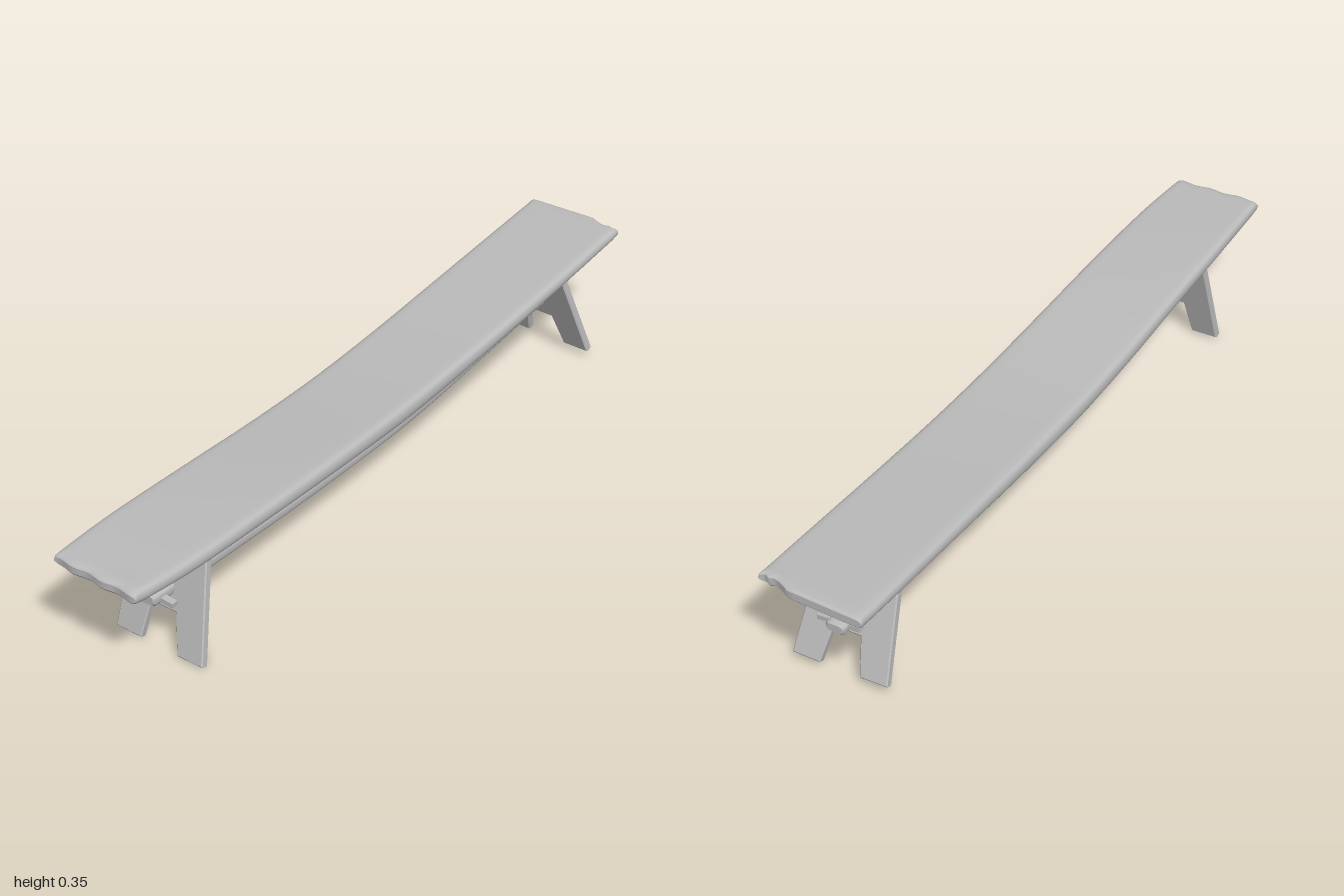
import * as THREE from 'three';

const wood = new THREE.MeshStandardMaterial({ color: 0xbcbcbc });
wood.name = 'greyWood';

// Smooth interpolation through rows of [z, a, b, ...]
function sampler(rows) {
  const curves = rows[0].slice(1).map((_, k) =>
    new THREE.CatmullRomCurve3(rows.map(r => new THREE.Vector3(r[0], r[k + 1], 0))));
  return t => [curves[0].getPoint(t).x, ...curves.map(c => c.getPoint(t).y)];
}

// Skin a list of closed rings (anticlockwise seen from +z, running to -z), with flat fans at the ends
function loft(rings) {
  const n = rings[0].length, pos = [], idx = [];
  rings.forEach(r => r.forEach(p => pos.push(...p)));
  for (let i = 0; i < rings.length - 1; i++) for (let j = 0; j < n; j++) {
    const a = i * n + j, b = i * n + (j + 1) % n;
    idx.push(a, a + n, b, b, a + n, b + n);
  }
  // end caps are strips between the opposite sides of the ring
  [rings[0], rings[rings.length - 1]].forEach((ring, e) => {
    const base = pos.length / 3;
    ring.forEach(p => pos.push(...p));
    for (let j = 0; j < n / 2 - 1; j++) {
      const a = base + j, b = base + j + 1, c = base + n - 2 - j, d = base + n - 1 - j;
      if (e === 0) idx.push(a, b, c, a, c, d);
      else idx.push(a, c, b, a, d, c);
    }
  });
  const g = new THREE.BufferGeometry();
  g.setAttribute('position', new THREE.Float32BufferAttribute(pos, 3));
  g.setIndex(idx);
  g.computeVertexNormals();
  return g;
}

function add(parent, geometry, name) {
  const m = new THREE.Mesh(geometry, wood);
  m.name = name;
  parent.add(m);
  return m;
}

// Seat plank: sagging, slightly twisted, with worn rounded edges and ragged ends
function seatGeometry() {
  // z, centre height, thickness, left edge, right edge, twist
  const at = sampler([
    [0.99, 0.315, 0.036, -0.130, 0.115, -0.003],
    [0.80, 0.308, 0.040, -0.136, 0.132, -0.004],
    [0.50, 0.293, 0.044, -0.138, 0.139, 0.000],
    [0.25, 0.279, 0.047, -0.140, 0.140, 0.004],
    [0.00, 0.272, 0.050, -0.141, 0.140, 0.005],
    [-0.25, 0.279, 0.048, -0.142, 0.139, 0.004],
    [-0.50, 0.294, 0.043, -0.144, 0.140, 0.003],
    [-0.80, 0.315, 0.038, -0.146, 0.140, 0.004],
    [-1.00, 0.330, 0.033, -0.147, 0.139, 0.005]]);
  const across = 24;
  const ring = (t, shrink, inset) => {
    const [z, y, th, x0, x1, twist] = at(t);
    const pts = [];
    const put = (u, v) => {
      const x = (x0 + x1) / 2 + u * (x1 - x0) / 2;
      let dz = 0;
      if (t < 0.02) dz = -0.003 + 0.003 * Math.sin(u * 9);
      if (t > 0.98) dz = u > 0.5 ? 0.016 + 0.003 * Math.sin(u * 30) : u > 0.42 ? 0.008 : 0;
      pts.push([x, y + twist * u + v * shrink * th / 2, z + dz + (t < 0.5 ? -inset : inset)]);
    };
    // underside left to right, then top right to left
    for (let i = 0; i <= across; i++) {
      const u = -Math.cos(Math.PI * i / across);
      const e = Math.pow(1 - Math.pow(Math.abs(u), 18), 0.5);
      put(u, -0.15 - 0.85 * e);
    }
    for (let i = across; i >= 0; i--) {
      const u = -Math.cos(Math.PI * i / across);
      const e = Math.pow(1 - Math.pow(Math.abs(u), 24), 0.5);
      put(u, 0.15 + 0.85 * e);
    }
    return pts;
  };
  const rings = [ring(0, 0.5, 0), ring(0, 0.82, 0.004), ring(0, 1, 0.013)];
  for (let i = 1; i < 40; i++) rings.push(ring(i / 40, 1, 0));
  rings.push(ring(1, 1, 0.010), ring(1, 0.85, 0.003), ring(1, 0.6, 0));
  return loft(rings);
}

// Stretcher: bowed bar with an oval section passing through both legs
function stretcherGeometry() {
  const at = sampler([
    [0.83, 0.167, 0.027, 0.017], [0.60, 0.155, 0.028, 0.018], [0.30, 0.138, 0.029, 0.018],
    [0.00, 0.128, 0.029, 0.018], [-0.20, 0.129, 0.029, 0.019], [-0.50, 0.149, 0.028, 0.018],
    [-0.75, 0.168, 0.027, 0.016], [-0.895, 0.170, 0.026, 0.014]]);
  const ring = (t, s) => {
    const [z, y, rx, ry] = at(t);
    return Array.from({ length: 16 }, (_, j) => {
      const a = Math.PI * 2 * (j + 0.5) / 16 + Math.PI;
      const c = Math.cos(a), d = Math.sin(a);
      return [0.002 + s * rx * Math.sign(c) * Math.abs(c) ** 0.6,
        y + s * ry * Math.sign(d) * Math.abs(d) ** 0.6, z];
    });
  };
  const rings = [ring(0, 0.8), ring(0.004, 1)];
  for (let i = 1; i < 30; i++) rings.push(ring(i / 30, 1));
  rings.push(ring(0.996, 1), ring(1, 0.8));
  return loft(rings);
}

// Leg board with a cut-out foot, leaned so that its foot is further out
function legGeometry(footZ, topZ, footY) {
  const outline = [[-0.122, 0.008], [-0.05, 0.006], [-0.035, 0.107], [0.043, 0.107], [0.064, 0.003],
    [0.137, 0.003], [0.103, 0.285], [0, 0.293], [-0.105, 0.285]];
  const bevel = 0.003, depth = 0.021;
  const g = new THREE.ExtrudeGeometry(
    new THREE.Shape(outline.map(p => new THREE.Vector2(...p))),
    { depth: depth - 2 * bevel, bevelThickness: bevel, bevelSize: bevel, bevelOffset: -0.001, bevelSegments: 1 });
  g.translate(0, 0, bevel - depth / 2);
  const p = g.attributes.position;
  for (let i = 0; i < p.count; i++) {
    const k = p.getY(i) / 0.29;
    p.setY(i, THREE.MathUtils.lerp(footY, 0.292, k) + p.getZ(i) * (footZ - topZ) / 0.29);
    p.setZ(i, p.getZ(i) + THREE.MathUtils.lerp(footZ, topZ, k));
  }
  g.computeVertexNormals();
  return g;
}

export function createModel() {
  const bench = new THREE.Group();
  bench.name = 'bench';
  add(bench, seatGeometry(), 'seat');
  add(bench, stretcherGeometry(), 'stretcher');
  add(bench, legGeometry(0.79, 0.715, 0.002), 'frontLeg');
  add(bench, legGeometry(-0.87, -0.77, 0.022), 'backLeg');

  // Locking pegs through the stretcher ends
  [['frontPeg', 0.798, 0.163], ['backPeg', -0.868, 0.171]].forEach(([name, z, y]) => {
    const peg = add(bench, new THREE.BoxGeometry(0.118, 0.013, 0.018), name);
    peg.position.set(0.004, y, z);
    peg.rotation.z = -0.08;
  });
  return bench;
}
